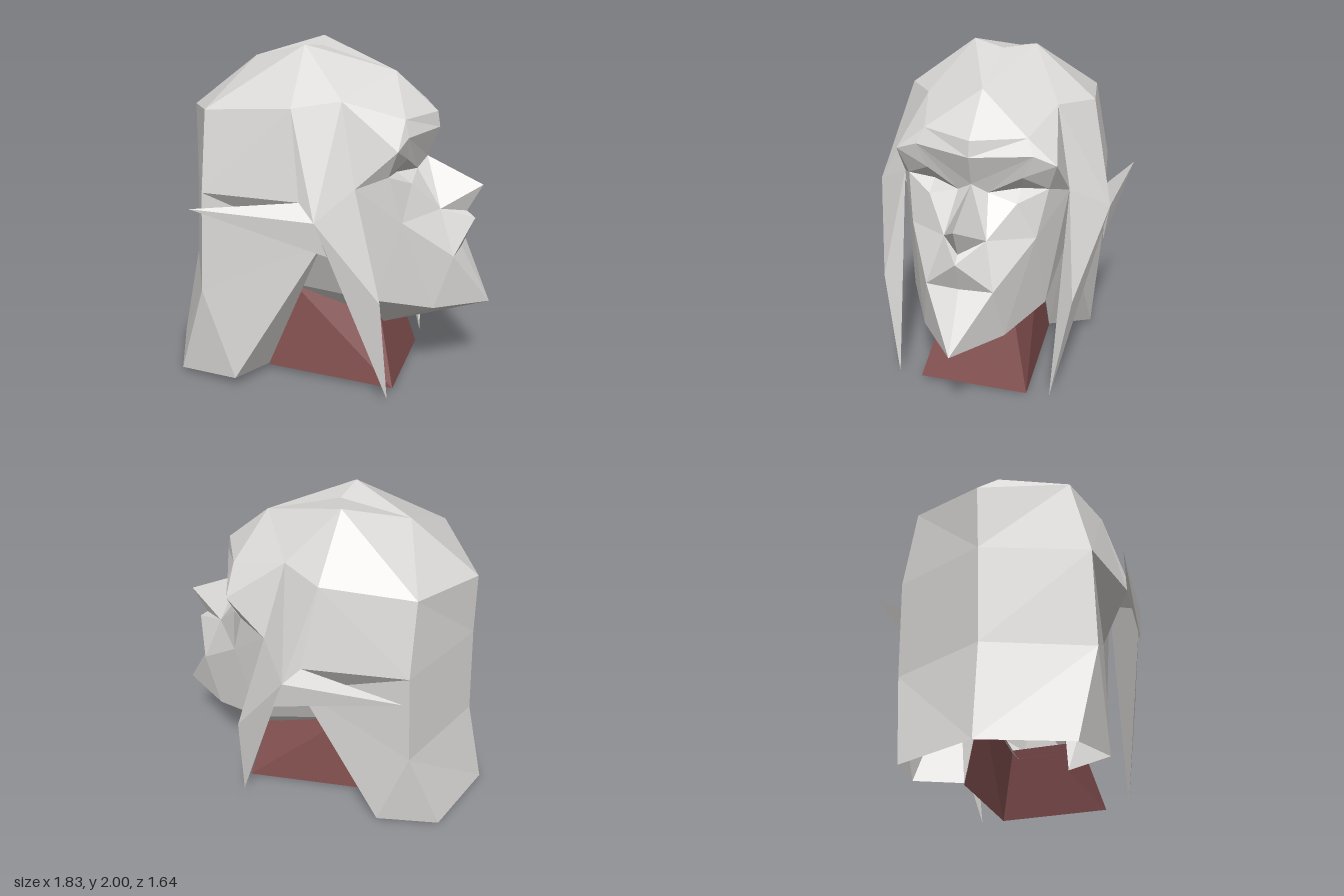
import * as THREE from 'three';

// Key points of the left half: [side, height, forward]
const P = {
  // crown and back of the hair
  C0: [0, 1.97, 0], T: [.185, 2, -.05], Cf: [0, 1.85, .435], Cb: [0, 1.89, -.41],
  U1: [.475, 1.655, -.54], U2: [0, 1.57, -.81], H: [.55, 1.715, -.01],
  Ma1: [.575, 1.2, -.53], Ma2: [0, 1.18, -.81], M1: [.575, .6, -.55], M2: [0, .6, -.83],
  B0: [.56, .05, -.36], B1: [.48, .02, -.74], B2: [0, .03, -.94],
  // side strand and ear
  S1: [.38, 1.735, .224], S2: [.49, 1.28, .335], S3: [.57, .66, .51], tip: [.47, .02, .545],
  E: [.655, 1.23, .07], F: [.705, 1.14, .17], G: [.685, .95, .24], L: [.47, .93, .145],
  earTip: [.75, 1.16, -.53],
  // inner corners of the hair behind the neck
  Q: [.3, .04, -.24], K: [.25, .57, -.1],
  // forehead and eyes
  fore: [.29, 1.64, .56], fc: [0, 1.635, .685], browM: [.33, 1.55, .59], browC: [0, 1.545, .7],
  browO: [.455, 1.5, .56], eyeO: [.405, 1.34, .5], up: [.27, 1.415, .575],
  mid: [.25, 1.33, .51], low: [.25, 1.27, .6], inn: [.086, 1.315, .595],
  // nose, mouth, chin
  bridge: [0, 1.37, .635], nose: [0, 1.225, .965], nos: [.12, 1.095, .745], base: [0, 1.06, .88],
  lip: [0, 1.02, .93], lip2: [0, .84, .86], mouth: [.19, .84, .845], cheek: [.36, 1.07, .575],
  chin: [0, .51, 1.04], chinS: [.235, .525, .75], J: [.4, .6, .44],
  under: [.19, .375, .445], under0: [0, .375, .445],
  // neck
  nf: [.33, .015, .545], nb: [.3, .03, -.24], tf: [.22, .43, .435], tb: [.24, .565, -.1],
};

// Faces of three or four named points; each is mirrored to the other side
const crown = ['C0 T Cf', 'C0 T Cb', 'Cb T U1', 'Cb U1 U2', 'T U1 H', 'T H S1', 'T S1 Cf'];
const backHair = [
  'U1 U2 Ma2 Ma1', 'Ma1 Ma2 M2 M1', 'M1 M2 B2 B1', 'H U1 Ma1', 'H Ma1 E', 'H E F',
  'E Ma1 L', 'Ma1 M1 L', 'L M1 B0', 'M1 B1 B0', 'L B0 Q', 'L Q K',
];
const strand = ['S1 H F', 'S1 F S2', 'S2 F S3', 'F tip S3', 'S2 S3 tip', 'S2 F tip'];
const ear = ['E F earTip', 'F G earTip', 'G E earTip'];
const face = [
  'Cf S1 fore', 'Cf fore fc', 'fore browM browC fc', 'S1 browO fore', 'fore browO browM',
  'S1 S2 browO', 'browO S2 eyeO', 'S2 eyeO cheek', 'S2 cheek J',
  'eyeO low cheek', 'low inn nos', 'low nos cheek', 'nos mouth cheek', 'mouth chinS cheek',
  'chinS J cheek', 'lip nos mouth', 'mouth lip lip2', 'mouth lip2 chin', 'mouth chin chinS',
  'chin chinS under', 'chin under under0', 'chinS J under', 'under J K', 'L K J', 'L J S2',
];
const eyes = [
  'browO eyeO up', 'browO up browM', 'browM up inn', 'browM inn bridge', 'browM bridge browC',
  'eyeO up mid', 'up inn mid', 'eyeO mid low', 'mid inn low',
];
const nose = ['bridge nose nos', 'bridge nos inn', 'nose nos base', 'base nos lip'];
const neckSides = ['nf nb tb tf'];

const v = (p) => new THREE.Vector3(...p);
const mirrored = (p) => new THREE.Vector3(-p.x, p.y, p.z);

function facets(name, faces, material, bridges = []) {
  const out = [];
  // turn each triangle away from the middle axis of the head
  const addTriangle = (a, b, c) => {
    const mid = a.clone().add(b).add(c).divideScalar(3);
    const normal = b.clone().sub(a).cross(c.clone().sub(a));
    const away = new THREE.Vector3(mid.x, (mid.y - 1) * 0.4, mid.z);
    const tri = normal.dot(away) < 0 ? [a, c, b] : [a, b, c];
    tri.forEach((p) => out.push(p.x, p.y, p.z));
  };
  const addFace = (pts) => {
    for (let i = 1; i < pts.length - 1; i++) addTriangle(pts[0], pts[i], pts[i + 1]);
  };
  for (const f of faces) {
    const pts = f.split(' ').map((k) => v(P[k]));
    addFace(pts);
    addFace(pts.map(mirrored));
  }
  // faces that span both sides: an edge joined to its mirror image
  for (const [a, b] of bridges) {
    const pa = v(P[a]), pb = v(P[b]);
    addFace([pa, pb, mirrored(pb), mirrored(pa)]);
  }
  const g = new THREE.BufferGeometry();
  g.setAttribute('position', new THREE.Float32BufferAttribute(out, 3));
  g.computeVertexNormals();
  const mesh = new THREE.Mesh(g, material);
  mesh.name = name;
  return mesh;
}

export function createModel() {
  const options = { flatShading: true, side: THREE.DoubleSide };
  const stone = new THREE.MeshStandardMaterial({ color: 0xdad8d6, ...options });
  stone.name = 'paleGrey';
  const red = new THREE.MeshStandardMaterial({ color: 0x845050, ...options });
  red.name = 'dullRed';

  const head = new THREE.Group();
  head.name = 'head';
  head.add(
    facets('crownHair', crown, stone),
    facets('backHair', backHair, stone),
    facets('sideStrands', strand, stone),
    facets('ears', ear, stone),
    facets('face', face, stone),
    facets('eyes', eyes, stone),
    facets('nose', nose, stone),
    facets('neck', neckSides, red, [['nf', 'tf']]), // open at the back and below
  );

  // the head is turned to its left and leans very slightly
  head.rotation.set(0, 1.156, -0.028, 'YXZ');
  head.position.set(-0.05, 0, 0.118);

  const model = new THREE.Group();
  model.name = 'bust';
  model.add(head);
  return model;
}
